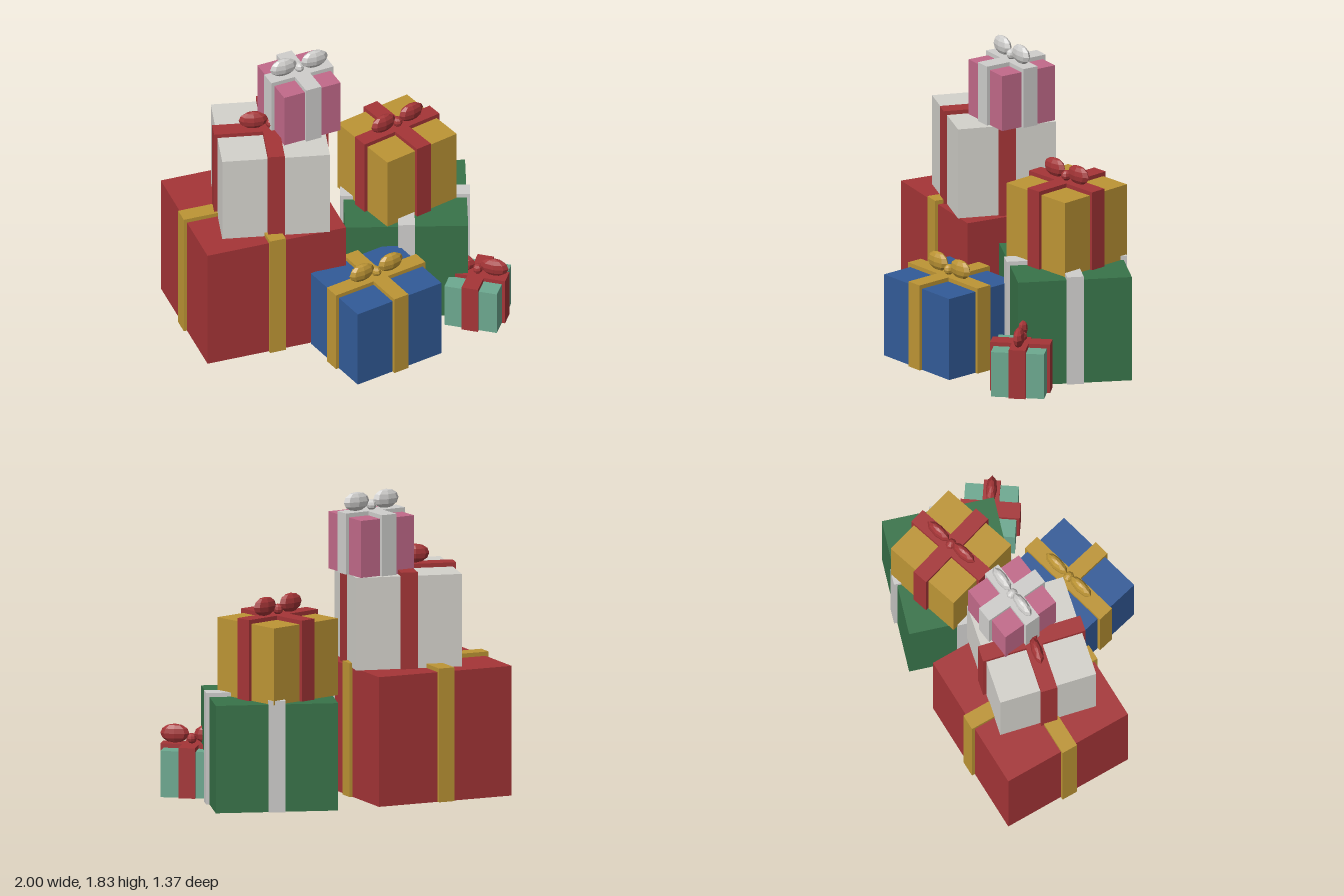
import * as THREE from 'three';

const paint = (name, color, extra = {}) => {
  const m = new THREE.MeshStandardMaterial({ color, flatShading: true, side: THREE.DoubleSide, ...extra });
  m.name = name;
  return m;
};

// Box standing on y = 0 without its bottom face
function openBox(w, h, d) {
  const g = new THREE.BoxGeometry(w, h, d).translate(0, h / 2, 0);
  const idx = Array.from(g.index.array);
  idx.splice(18, 6); // the fourth face is the bottom
  g.setIndex(idx);
  g.clearGroups();
  return g;
}

export function createModel() {
  const red = paint('red', 0xa53537);
  const white = paint('white', 0xd4d2cc);
  const silver = paint('silver', 0xcfcecc);
  const gold = paint('gold', 0xbd9535);
  const green = paint('green', 0x387349);
  const blue = paint('blue', 0x325b98);
  const pink = paint('pink', 0xc26a8a);
  const teal = paint('teal', 0x6da990);

  const model = new THREE.Group();
  model.name = 'giftPile';

  const band = 0.1;   // ribbon width
  const over = 0.02;  // ribbon stands out from the sides
  const rise = 0.025; // ribbon stands out from the top

  const add = (parent, name, geometry, material, x = 0, y = 0, z = 0) => {
    const m = new THREE.Mesh(geometry, material);
    m.name = name;
    m.position.set(x, y, z);
    parent.add(m);
    return m;
  };

  // Bow: two flattened loops and a knot, standing on y
  function addBow(parent, y, material) {
    const bow = new THREE.Group();
    bow.name = 'bow';
    bow.position.y = y;
    for (const side of [-1, 1]) {
      const loop = add(bow, side > 0 ? 'leftLoop' : 'rightLoop',
        new THREE.SphereGeometry(1, 8, 6), material, side * 0.102, 0.056, 0);
      loop.scale.set(0.088, 0.058, 0.034);
    }
    const knot = add(bow, 'knot', new THREE.SphereGeometry(1, 8, 6), material, 0, 0.028, 0);
    knot.scale.set(0.03, 0.032, 0.036);
    parent.add(bow);
  }

  // Wrapped box with a crossed ribbon and, where wanted, a bow
  function addGift(name, [x, y, z], [w, h, d], turn, paper, ribbon, hasBow = true) {
    const gift = new THREE.Group();
    gift.name = name;
    gift.position.set(x, y, z);
    gift.rotation.y = turn;
    add(gift, 'box', openBox(w, h, d), paper);
    const rh = h + rise;
    add(gift, 'ribbonAcross', new THREE.BoxGeometry(w + 2 * over, rh, band), ribbon, 0, rh / 2, 0);
    add(gift, 'ribbonAlong', new THREE.BoxGeometry(band, rh, d + 2 * over), ribbon, 0, rh / 2, 0);
    if (hasBow) addBow(gift, rh, ribbon);
    model.add(gift);
  }

  // Tall stack
  addGift('largeRedGift', [-0.517, 0, -0.187], [0.875, 0.785, 0.83], 0.115, red, gold, false);
  addGift('whiteGift', [-0.425, 0.785, -0.137], [0.645, 0.56, 0.6], -0.113, white, red);
  addGift('pinkGift', [-0.24, 1.345, -0.182], [0.37, 0.345, 0.375], 0.215, pink, silver);

  // Short stack
  addGift('largeGreenGift', [0.43, 0, -0.275], [0.734, 0.65, 0.685], -0.2, green, silver, false);
  addGift('goldGift', [0.387, 0.65, -0.298], [0.51, 0.465, 0.505], 0.4, gold, red);

  // Single gifts on the ground
  addGift('blueGift', [0.11, 0, 0.345], [0.596, 0.51, 0.51], 0.353, blue, gold);
  addGift('smallTealGift', [0.78, 0, 0.135], [0.324, 0.28, 0.32], -0.498, teal, red);

  return model;
}
